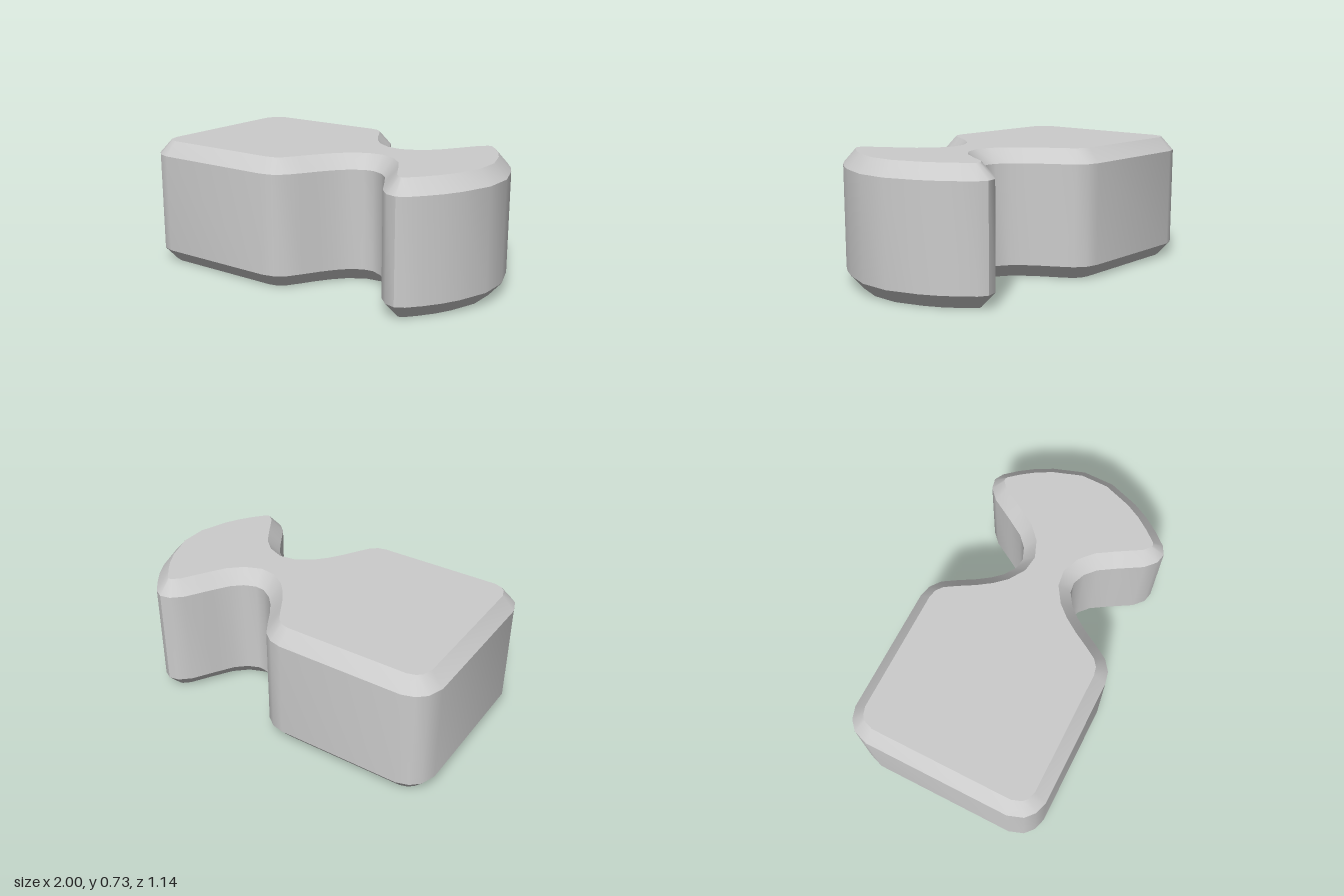
import * as THREE from 'three';
import { toCreasedNormals } from 'three/addons/utils/BufferGeometryUtils.js';

const HEIGHT = 0.735;
const BEVEL_HEIGHT = 0.08;
const BEVEL_INSET = 0.07;

// Half of the outline: rounded block, narrow neck, fan-shaped head
const HALF_OUTLINE = [
  [-1, 0.42], [-0.97, 0.505], [-0.92, 0.55], [-0.85, 0.572],
  [-0.13, 0.572], [-0.06, 0.556], [0, 0.51], [0.05, 0.43], [0.1, 0.343],
  [0.15, 0.27], [0.2, 0.215], [0.27, 0.17], [0.33, 0.162], [0.4, 0.19],
  [0.46, 0.245], [0.52, 0.34], [0.6, 0.475], [0.66, 0.53], [0.72, 0.543],
  [0.77, 0.515], [0.83, 0.445], [0.89, 0.36], [0.94, 0.265], [1, 0.09],
];

export function createModel() {
  const group = new THREE.Group();
  group.name = 'connectorBlock';

  // Mirror the half outline across the long axis
  const mirrored = HALF_OUTLINE.map(([x, y]) => [x, -y]).reverse();
  const points = [...HALF_OUTLINE, ...mirrored].map(([x, y]) => new THREE.Vector2(x, y));

  // Extrude with a single chamfer cut inward at top and bottom
  const geometry = new THREE.ExtrudeGeometry(new THREE.Shape(points), {
    depth: HEIGHT - 2 * BEVEL_HEIGHT,
    bevelEnabled: true,
    bevelThickness: BEVEL_HEIGHT,
    bevelSize: BEVEL_INSET,
    bevelOffset: -BEVEL_INSET,
    bevelSegments: 1,
  });
  geometry.rotateX(-Math.PI / 2);
  geometry.translate(0, BEVEL_HEIGHT, 0);

  // Smooth around the walls, sharp at the chamfers
  const body = new THREE.Mesh(
    toCreasedNormals(geometry, THREE.MathUtils.degToRad(39.5)),
    new THREE.MeshStandardMaterial({ color: 0xcccccc })
  );
  body.name = 'body';
  group.add(body);
  return group;
}
